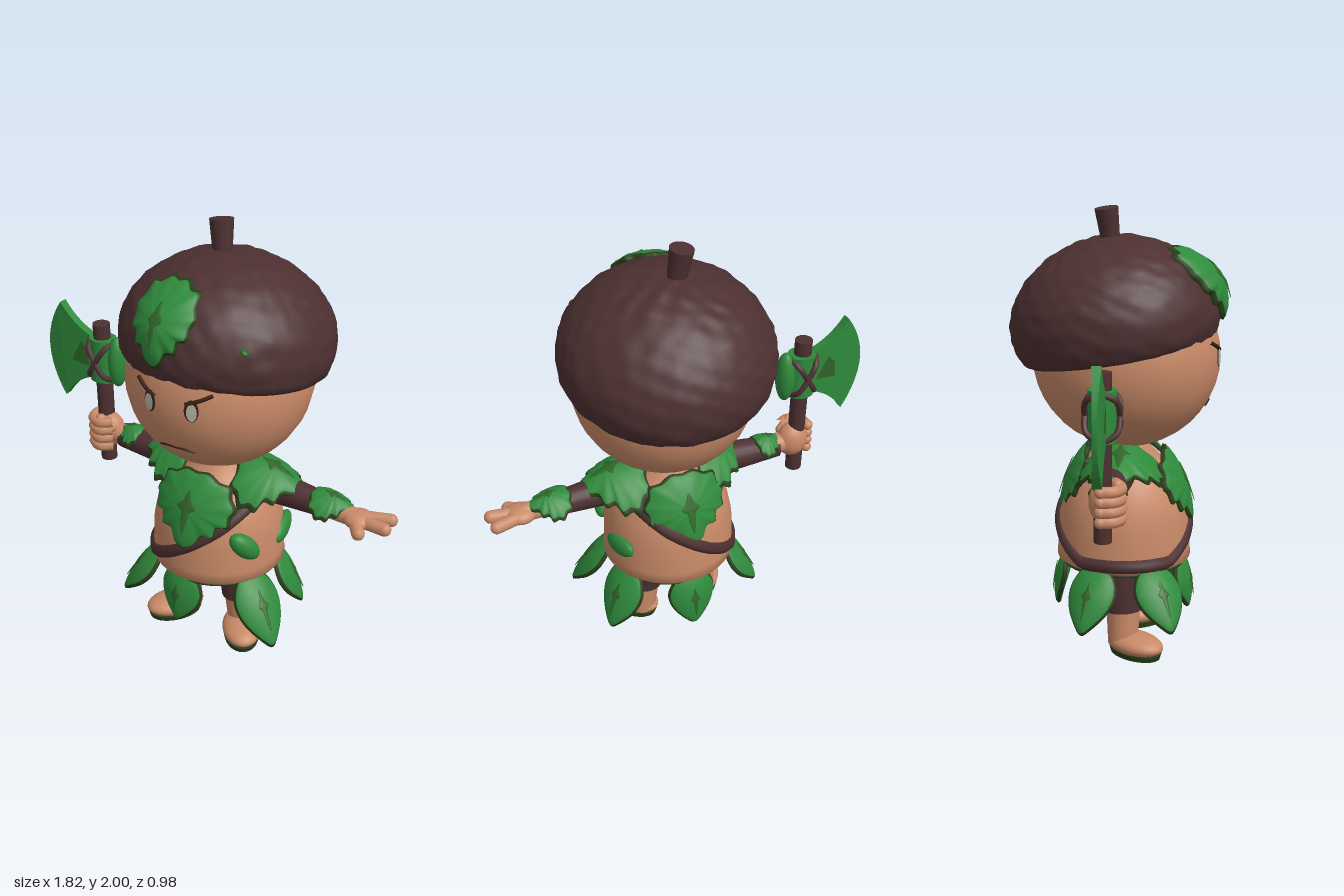
import * as THREE from 'three';
import { mergeVertices } from 'three/addons/utils/BufferGeometryUtils.js';

const mat = (name, color) => Object.assign(new THREE.MeshStandardMaterial({ color }), { name });
const skin = mat('skin', 0xc98a68);
const brown = mat('bark brown', 0x4d3031);
const green = mat('leaf green', 0x2f8a3c);
const veinGreen = mat('vein green', 0x2f6426);
const olive = mat('dark leaf edge', 0x2b3f1a);
const dark = mat('dark line', 0x3a2015);
const pale = mat('pale grey', 0xb4b4a6);

const V = (x, y, z) => new THREE.Vector3(x, y, z);

// Profiles as [radius, height]
const CAP = [[0.36, -0.02], [0.42, -0.035], [0.455, 0.015], [0.469, 0.09], [0.457, 0.18], [0.415, 0.265], [0.34, 0.35], [0.23, 0.42], [0.11, 0.46], [0.001, 0.473]];
const TORSO = [[0.001, 0.4], [0.27, 0.4], [0.307, 0.42], [0.305, 0.47], [0.3, 0.6], [0.28, 0.7], [0.24, 0.8], [0.17, 0.88], [0.12, 0.93], [0.11, 0.99]];

function radiusAt(profile, y) {
  for (let i = 2; i < profile.length; i++) {
    const [r0, y0] = profile[i - 1], [r1, y1] = profile[i];
    if (y <= y1) return r0 + (r1 - r0) * THREE.MathUtils.clamp((y - y0) / (y1 - y0), 0, 1);
  }
  return profile.at(-1)[0];
}

function add(parent, name, geometry, material, pos = [0, 0, 0], scale = [1, 1, 1], rot = [0, 0, 0]) {
  const m = new THREE.Mesh(geometry, material);
  m.name = name;
  m.position.set(...pos);
  m.scale.set(...scale);
  m.rotation.set(...rot);
  parent.add(m);
  return m;
}
const ball = (p, name, material, pos, scale, rot) =>
  add(p, name, new THREE.SphereGeometry(1, 28, 20), material, pos, scale, rot);

// Tapered rod or rounded capsule between two points
function rod(p, name, material, a, b, ra, rb, round = false) {
  const A = V(...a), B = V(...b), d = B.clone().sub(A), len = d.length();
  const g = round ? new THREE.CapsuleGeometry(ra, len, 6, 14) : new THREE.CylinderGeometry(rb, ra, len, 20);
  const m = add(p, name, g, material);
  m.position.copy(A).add(B).multiplyScalar(0.5);
  m.quaternion.setFromUnitVectors(V(0, 1, 0), d.normalize());
  return m;
}
const tube = (p, name, material, pts, r, closed = false, n = 24) =>
  add(p, name, new THREE.TubeGeometry(new THREE.CatmullRomCurve3(pts, closed), n, r, 8, closed), material);

// Half outlines of leaves, base at the origin, tip at y = -1
const LOBED = [[0, 0], [0.14, 0.02], [0.27, -0.06], [0.4, -0.08], [0.43, -0.22], [0.5, -0.34], [0.46, -0.45], [0.46, -0.58], [0.35, -0.62], [0.33, -0.76], [0.2, -0.78], [0.13, -0.92], [0, -1]];
const POINTED = [[0, 0], [0.3, -0.05], [0.46, -0.22], [0.5, -0.42], [0.4, -0.66], [0.17, -0.9], [0, -1]];
const VEIN = [[0, -0.25], [0.05, -0.38], [0.11, -0.46], [0.05, -0.52], [0.04, -0.62], [0, -0.8]];

// Domed leaf from concentric rings, with a dark rim; warp bends it into place
function leafGeometry(half, w, len, thick, lift, warp) {
  const outline = [...half.map(([x, y]) => [-x, y]), ...half.slice(1, -1).reverse()];
  const pts = new THREE.CatmullRomCurve3(outline.map(([x, y]) => V(x * w, y * len, 0)), true, 'catmullrom', 0.5).getPoints(72).slice(0, -1);
  const n = pts.length, cy = -0.48 * len, pos = [], idx = [];
  const rings = [[0, 1], [0.3, 0.92], [0.6, 0.7], [0.8, 0.45], [0.94, 0.2], [1, -0.2], [0.94, -0.6], [0.5, -0.4], [0, -0.3]];
  for (const [s, h] of rings)
    for (const p of pts) pos.push(...warp(p.x * s, cy + (p.y - cy) * s, h * thick + lift));
  const g = new THREE.BufferGeometry();
  for (let k = 0; k < rings.length - 1; k++) {
    for (let i = 0; i < n; i++) {
      const j = (i + 1) % n, a = k * n, b = a + n;
      idx.push(a + i, b + i, b + j, a + i, b + j, a + j);
    }
    g.addGroup(k * n * 6, n * 6, k === 4 || k === 5 ? 1 : 0);
  }
  g.setAttribute('position', new THREE.Float32BufferAttribute(pos, 3));
  g.setIndex(idx);
  g.computeVertexNormals();
  return g;
}
function leaf(parent, name, half, w, len, thick, warp) {
  const g = new THREE.Group();
  g.name = name;
  add(g, 'blade', leafGeometry(half, w, len, thick, 0, warp), [green, olive]);
  add(g, 'vein', leafGeometry(VEIN, w, len, 0.003, thick + 0.001, warp), [veinGreen, veinGreen]);
  parent.add(g);
  return g;
}
const curl = (cx, cy) => (x, y, z) => [x, y, z - cx * x * x - cy * y * y];

function buildHead(root) {
  const C = [0.06, 1.345, 0.02], R = [0.41, 0.41, 0.42];
  ball(root, 'head', skin, C, R);
  const onFace = (x, y, d) => V(x, y, C[2] + d + R[2] * Math.sqrt(1 - ((x - C[0]) / R[0]) ** 2 - ((y - C[1]) / R[1]) ** 2));
  const disc = (name, m, x, y, rx, ry, d) => {
    const g = new THREE.CircleGeometry(1, 24), p = g.attributes.position;
    for (let i = 0; i < p.count; i++) p.setXYZ(i, ...onFace(x + p.getX(i) * rx, y + p.getY(i) * ry, d));
    g.computeVertexNormals();
    add(root, name, g, m);
  };
  for (const s of [-1, 1]) {
    const x = 0.069 + s * 0.101;
    disc('eyeOutline', dark, x - s * 0.003, 1.362, 0.03, 0.049, 0.003);
    disc('eye', pale, x, 1.356, 0.022, 0.039, 0.006);
    tube(root, 'brow', dark, [onFace(x + s * 0.075, 1.435, 0), onFace(x + s * 0.03, 1.412, 0.002), onFace(x - s * 0.03, 1.388, 0)], 0.009);
  }
  tube(root, 'mouth', dark, [[-0.02, 1.133], [0.02, 1.146], [0.07, 1.148], [0.12, 1.146], [0.15, 1.137]].map(([x, y]) => onFace(x, y, 0)), 0.005);

  // Bumpy nutshell cap, tipped backwards
  const cap = new THREE.Group();
  cap.name = 'cap';
  cap.position.set(0.065, 1.405, -0.015);
  cap.rotation.x = -0.17;
  root.add(cap);
  const profile = new THREE.SplineCurve(CAP.map(p => new THREE.Vector2(...p))).getPoints(44);
  let g = new THREE.LatheGeometry(profile, 80);
  g.deleteAttribute('uv');
  g.deleteAttribute('normal');
  g = mergeVertices(g, 1e-4);
  const p = g.attributes.position;
  for (let i = 0; i < p.count; i++) {
    const v = V().fromBufferAttribute(p, i);
    const b = Math.sin(v.x * 43 + Math.sin(v.z * 19) * 1.5) * Math.sin(v.z * 41 + v.y * 13) * Math.cos(v.y * 47 + v.x * 9);
    v.multiplyScalar(1 + 0.014 * b);
    p.setXYZ(i, v.x, v.y, v.z);
  }
  g.computeVertexNormals();
  add(cap, 'shell', g, brown);
  leaf(cap, 'capLeaf', LOBED, 0.31, 0.345, 0.032, (x, y, z) => {
    const r = radiusAt(CAP, 0.38 + y), u = x - 0.062;
    return [u, 0.38 + y + z * 0.5, Math.sqrt(r * r - u * u) + z + 0.026];
  });
  ball(root, 'capSpeck', veinGreen, [0.35, 1.625, 0.322], [0.02, 0.012, 0.02], [0, 0, -0.5]);
  rod(root, 'stem', brown, [0.03, 1.83, -0.045], [0.012, 1.995, -0.065], 0.04, 0.052);
}

function buildBody(root) {
  const cx = 0.05, cz = 0.01;
  add(root, 'torso', new THREE.LatheGeometry(TORSO.map(p => new THREE.Vector2(...p)), 40), skin, [cx, 0, cz]);
  add(root, 'hem', new THREE.TorusGeometry(0.28, 0.009, 8, 48), olive, [cx, 0.401, cz], [1, 1, 1], [Math.PI / 2, 0, 0]);
  // Diagonal sash following the torso
  const sash = [];
  for (let i = 0; i < 32; i++) {
    const a = i / 32 * Math.PI * 2, y = Math.max(0.45, 0.605 + 0.2 * Math.cos(a) - 0.02 * Math.sin(a));
    const r = radiusAt(TORSO, y) - 0.015;
    sash.push(V(cx + r * Math.cos(a), y, cz + r * Math.sin(a)));
  }
  tube(root, 'sash', brown, sash, 0.034, true, 80);
  ball(root, 'frontPod', green, [0.295, 0.615, 0.2], [0.05, 0.09, 0.045], [0.35, 0.6, 0.5]);
  ball(root, 'sidePod', green, [0.33, 0.57, -0.09], [0.033, 0.05, 0.1], [0.22, 0.2, 0]);

  // Leaf collar: [turn, lean, distance from neck, height, width, length, curl, bend]
  for (const [turn, lean, d, y, w, len, c, b] of [
    [0, -0.5, 0.185, 0.925, 0.41, 0.36, 1.2, 0.35], [Math.PI, -0.5, 0.165, 0.94, 0.4, 0.35, 1.2, 0.35],
    [Math.PI / 2, -1.33, 0.14, 0.965, 0.4, 0.31, 3.2, 0.3], [-Math.PI / 2, -1.33, 0.09, 0.965, 0.4, 0.31, 3.2, 0.3]]) {
    const l = leaf(root, 'collarLeaf', LOBED, w, len, 0.03, curl(c, b));
    l.rotation.set(lean, turn, 0, 'YXZ');
    l.position.set(cx + Math.sin(turn) * d, y, cz + Math.cos(turn) * d);
  }
  // Skirt leaves: [degrees round, lean, length]
  for (const [deg, lean, len] of [[-8, 0.2, 0.26], [62, 0.7, 0.35], [114, 0.5, 0.32], [180, 0.22, 0.28], [248, 0.6, 0.31], [302, 0.7, 0.31]]) {
    const a = deg * Math.PI / 180;
    const l = leaf(root, 'skirtLeaf', POINTED, 0.23, len, 0.028, curl(1.5, 0.2));
    l.rotation.set(-lean, a, 0, 'YXZ');
    l.position.set(cx + Math.sin(a) * 0.27, 0.43, cz + Math.cos(a) * 0.27);
  }
  // Shorts, legs and feet
  ball(root, 'hips', brown, [0.035, 0.38, 0.01], [0.23, 0.12, 0.17]);
  for (const s of [-1, 1]) {
    const x = 0.03 + s * 0.145;
    rod(root, 'shortsLeg', brown, [x, 0.2, 0.02], [x - s * 0.015, 0.4, 0.01], 0.087, 0.105);
    rod(root, 'leg', skin, [x + s * 0.015, 0.04, 0.02], [x, 0.23, 0.02], 0.068, 0.078);
    const foot = new THREE.Group();
    foot.name = 'foot';
    foot.position.set(x + s * 0.005, 0, 0.025);
    foot.rotation.y = s * 0.6;
    root.add(foot);
    ball(foot, 'footTop', skin, [0, 0.052, 0.065], [0.091, 0.05, 0.144]);
    add(foot, 'sole', new THREE.CylinderGeometry(1, 0.94, 0.025, 28), [olive, olive, pale], [0, 0.0125, 0.065], [0.086, 1, 0.136]);
  }
}

// Small leaf wrapped over a sleeve
function cuff(root, name, turn, pos, w, len, c) {
  const l = leaf(root, name, LOBED, w, len, 0.025, curl(c, 0.3));
  l.rotation.set(-1.42, turn, 0, 'YXZ');
  l.position.set(...pos);
}

function buildArms(root) {
  // Open hand
  rod(root, 'leftSleeve', brown, [0.14, 0.845, 0], [0.61, 0.825, 0.01], 0.088, 0.052);
  cuff(root, 'leftCuff', Math.PI / 2, [0.53, 0.888, 0.01], 0.22, 0.2, 5);
  rod(root, 'leftWrist', skin, [0.6, 0.825, 0.015], [0.74, 0.818, 0.02], 0.045, 0.042);
  ball(root, 'leftPalm', skin, [0.75, 0.818, 0.02], [0.07, 0.038, 0.068]);
  for (const [x, y, z] of [[0.875, 0.822, -0.035], [0.88, 0.822, 0.045], [0.785, 0.8, 0.1]])
    rod(root, 'leftFinger', skin, [0.745, 0.818, 0.02 + (z - 0.02) * 0.35], [x, y, z], 0.029, 0.029, true);

  // Gripping hand
  rod(root, 'rightSleeve', brown, [-0.04, 0.845, 0], [-0.5, 0.835, -0.02], 0.088, 0.052);
  cuff(root, 'rightCuff', -Math.PI / 2, [-0.38, 0.9, -0.02], 0.17, 0.14, 7);
  rod(root, 'rightWrist', skin, [-0.46, 0.845, -0.02], [-0.56, 0.85, -0.015], 0.045, 0.05);
  ball(root, 'rightPalm', skin, [-0.58, 0.855, -0.02], [0.075, 0.088, 0.065]);
  for (let i = 0; i < 4; i++) {
    const y = 0.79 + i * 0.042;
    tube(root, 'rightFinger', skin, [V(-0.53, y + 0.005, 0.02), V(-0.59, y, 0.05), V(-0.645, y, 0.02), V(-0.655, y, -0.03)], 0.025);
    ball(root, 'rightKnuckle', skin, [-0.655, y, -0.03], [0.025, 0.025, 0.025]);
  }
  rod(root, 'rightThumb', skin, [-0.54, 0.89, 0.02], [-0.59, 0.93, 0.035], 0.024, 0.024, true);
}

function buildAxe(root) {
  const axe = new THREE.Group();
  axe.name = 'axe';
  axe.position.set(-0.6, 0, -0.025);
  root.add(axe);
  rod(axe, 'handle', brown, [0.005, 0.69, 0], [-0.005, 1.395, 0], 0.038, 0.04);
  // Blade with a curved edge, thin at the rim
  const s = new THREE.Shape();
  s.moveTo(0.02, 1.31);
  s.quadraticCurveTo(-0.13, 1.33, -0.22, 1.46);
  s.quadraticCurveTo(-0.395, 1.22, -0.22, 0.98);
  s.quadraticCurveTo(-0.13, 1.12, 0.02, 1.13);
  const g = new THREE.ExtrudeGeometry(s, { depth: 0.04, bevelEnabled: false, curveSegments: 16 }).translate(0, 0, -0.02);
  const p = g.attributes.position;
  for (let i = 0; i < p.count; i++) p.setZ(i, p.getZ(i) * THREE.MathUtils.clamp(2.6 + p.getX(i) * 7, 0.3, 1));
  g.computeVertexNormals();
  add(axe, 'blade', g, green);
  add(axe, 'hub', new THREE.CylinderGeometry(0.068, 0.068, 0.21, 20), green, [0, 1.22, 0], [1, 1, 0.85]);
  ball(axe, 'poll', green, [0.08, 1.22, 0], [0.044, 0.125, 0.05]);
  // Crossed lashing and blade marking on both sides
  const mark = new THREE.Shape([[-0.17, 1.18], [-0.07, 1.17], [-0.075, 1.25], [-0.11, 1.29]].map(q => new THREE.Vector2(...q)));
  for (const f of [-1, 1]) {
    for (const d of [-1, 1])
      tube(axe, 'lashing', brown, [V(-0.065, 1.22 - d * 0.1, 0), V(-0.04, 1.22 - d * 0.065, f * 0.06), V(0, 1.22, f * 0.07), V(0.04, 1.22 + d * 0.065, f * 0.06), V(0.065, 1.22 + d * 0.1, 0)], 0.013);
    add(axe, 'marking', new THREE.ShapeGeometry(mark), veinGreen, [f > 0 ? 0 : -0.24, 0, f * 0.022], [1, 1, 1], [0, f > 0 ? 0 : Math.PI, 0]);
  }
}

export function createModel() {
  const root = new THREE.Group();
  root.name = 'acornWarrior';
  buildHead(root);
  buildBody(root);
  buildArms(root);
  buildAxe(root);
  return root;
}
